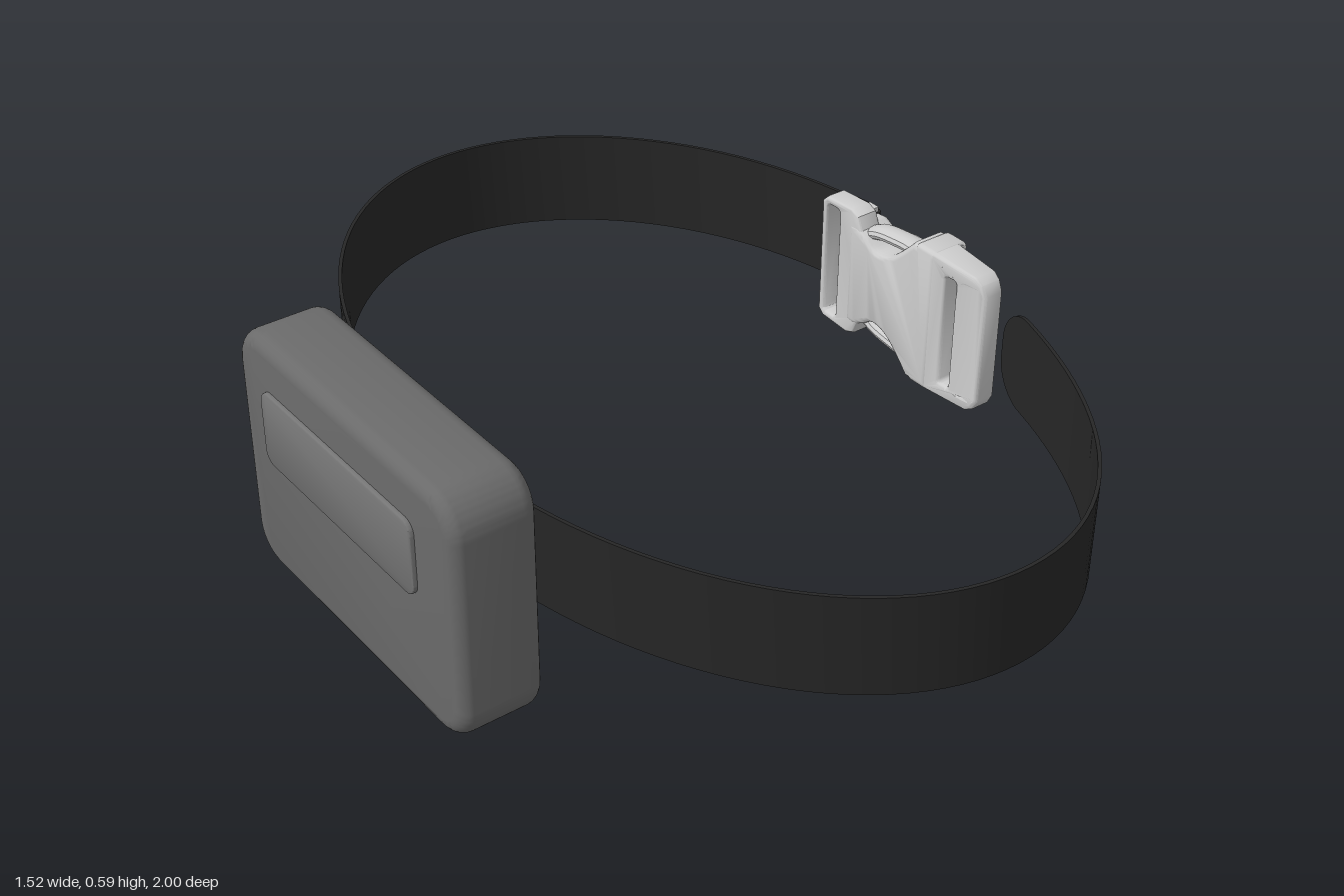
import * as THREE from 'three';
import { toCreasedNormals } from 'three/addons/utils/BufferGeometryUtils.js';

const MID = 0.328; // height of the buckle's centre line
const grey = new THREE.MeshStandardMaterial({ color: 0xcccccc });
const caseGrey = new THREE.MeshStandardMaterial({ color: 0x6a6a6a });
const labelGrey = new THREE.MeshStandardMaterial({ color: 0x757575 });
const webbing = new THREE.MeshStandardMaterial({ color: 0x262626, side: THREE.DoubleSide });

function roundRect(x0, y0, x1, y1, r, s = new THREE.Shape()) {
  s.moveTo(x0 + r, y0);
  s.lineTo(x1 - r, y0);
  s.absarc(x1 - r, y0 + r, r, -Math.PI / 2, 0);
  s.lineTo(x1, y1 - r);
  s.absarc(x1 - r, y1 - r, r, 0, Math.PI / 2);
  s.lineTo(x0 + r, y1);
  s.absarc(x0 + r, y1 - r, r, Math.PI / 2, Math.PI);
  s.lineTo(x0, y0 + r);
  s.absarc(x0 + r, y0 + r, r, Math.PI, Math.PI * 1.5);
  return s;
}
const hole = (x0, y0, x1, y1, r) => roundRect(x0, y0, x1, y1, r, new THREE.Path());

// Extrusion from d0 to d1, bevel kept inside the outline
function slab(shape, d0, d1, bevel, segments = 4) {
  return new THREE.ExtrudeGeometry(shape, {
    depth: d1 - d0 - 2 * bevel, bevelThickness: bevel, bevelSize: bevel,
    bevelOffset: -bevel, bevelSegments: segments, curveSegments: 10,
  }).translate(0, 0, d0 + bevel);
}
// The same along x, with the shape drawn in (-z, y)
const slabX = (...args) => slab(...args).rotateY(Math.PI / 2);

function add(group, name, geometry, material = grey) {
  const mesh = new THREE.Mesh(toCreasedNormals(geometry, 0.6), material);
  mesh.name = name;
  group.add(mesh);
  return mesh;
}

// Outline symmetric about the buckle's centre line, from its smoothed upper half
function mirrored(half) {
  const top = half.map(([u, h]) => new THREE.Vector2(u, MID + h));
  const bottom = half.map(([u, h]) => new THREE.Vector2(u, MID - h)).reverse();
  return new THREE.Shape([...bottom, ...top].reverse());
}

// Band swept along the (x, z) stations, with a rounded tip at the start
function strapGeometry(path) {
  const half = 0.115, t = 0.004, r = 0.09, yc = 0.34;
  const pos = [], idx = [];
  let d = 0;
  path.forEach((p, i) => {
    const a = path[Math.max(i - 1, 0)], b = path[Math.min(i + 1, path.length - 1)];
    if (i) d += p.distanceTo(a);
    const dir = b.clone().sub(a).normalize();
    const k = Math.max(r - d, 0);
    const h = half - r + Math.sqrt(Math.max(r * r - k * k, 0));
    for (const [s, v] of [[1, -1], [1, 1], [-1, 1], [-1, -1]])
      pos.push(p.x + s * t * -dir.y, yc + v * h, p.y + s * t * dir.x);
    if (!i) return;
    for (let j = 0; j < 4; j++) {
      const q = i * 4 - 4 + j, n = i * 4 - 4 + (j + 1) % 4;
      idx.push(q, n, q + 4, n, n + 4, q + 4);
    }
  });
  const e = pos.length / 3 - 4;
  idx.push(0, 2, 1, 0, 3, 2, e, e + 1, e + 2, e, e + 2, e + 3);
  const g = new THREE.BufferGeometry();
  g.setAttribute('position', new THREE.Float32BufferAttribute(pos, 3));
  g.setIndex(idx);
  return g;
}

function strapPath() {
  const pts = [], start = Math.asin(0.295), end = Math.PI * 2 - Math.asin(0.3);
  const at = (a) => {
    const c = Math.cos(a), s = Math.sin(a);
    const skew = c > 0 ? -0.045 * s * c * c : 0;
    return new THREE.Vector2(0.1 + 0.655 * c + skew, s * 0.995);
  };
  // Closely spaced stations round off the tip
  for (let i = 0; i < 12; i++) pts.push(at(start + 0.1 * (i / 12) ** 2));
  for (let i = 0; i <= 110; i++) pts.push(at(start + 0.1 + (end - start - 0.1) * i / 110));
  // Turn around the buckle's bar and back
  const turn = new THREE.SplineCurve([
    pts[pts.length - 1], new THREE.Vector2(0.75, -0.25), new THREE.Vector2(0.755, -0.195),
    new THREE.Vector2(0.747, -0.168), new THREE.Vector2(0.733, -0.18),
    new THREE.Vector2(0.729, -0.215), new THREE.Vector2(0.737, -0.275),
  ]);
  return pts.concat(turn.getPoints(36).slice(1));
}

function buildBuckle() {
  const g = new THREE.Group();
  g.name = 'buckle';

  // Slotted frame for the free strap end, thinner towards its tip
  const frame = mirrored([[-0.268, 0.135], [-0.255, 0.16], [-0.235, 0.172], [-0.1, 0.178]]);
  frame.holes.push(hole(-0.25, 0.19, -0.205, 0.466, 0.008), hole(-0.183, 0.19, -0.152, 0.466, 0.008));
  const fg = slabX(frame, 0.657, 0.738, 0.01);
  const p = fg.attributes.position;
  for (let i = 0; i < p.count; i++) {
    const k = THREE.MathUtils.clamp((p.getZ(i) - 0.11) / 0.158, 0, 1);
    p.setX(i, 0.695 + (p.getX(i) - 0.695) * (1 - 0.35 * k * k));
  }
  add(g, 'slottedFrame', fg);

  // Socket body with a waist at each release arm
  const waist = new THREE.SplineCurve([
    [-0.045, 0.175], [-0.012, 0.14], [0.03, 0.105], [0.075, 0.095], [0.11, 0.115], [0.14, 0.13],
  ].map(([u, h]) => new THREE.Vector2(u, h))).getPoints(20).map((v) => [v.x, v.y]);
  add(g, 'socketBody', slabX(mirrored([[-0.118, 0.175], ...waist, [0.166, 0.127]]), 0.655, 0.75, 0.014));
  add(g, 'socketRim', slabX(roundRect(-0.12, MID - 0.179, -0.05, MID + 0.179, 0.015), 0.655, 0.757, 0.015));

  // Plug end with the strap slot
  const plug = mirrored([
    [0.09, 0.1], [0.125, 0.118], [0.14, 0.155], [0.165, 0.165], [0.25, 0.16], [0.266, 0.145],
  ]);
  plug.holes.push(hole(0.205, MID - 0.142, 0.247, MID + 0.142, 0.01));
  add(g, 'plugEnd', slabX(plug, 0.658, 0.716, 0.009));
  add(g, 'strapBar', new THREE.CylinderGeometry(0.008, 0.008, 0.27, 12).translate(0.741, MID, -0.188));
  for (const s of [1, -1]) {
    add(g, 'strapBarMount', new THREE.BoxGeometry(0.05, 0.018, 0.03).translate(0.722, MID + s * 0.13, -0.185));
    // Release arms curving through the waist
    const arm = new THREE.CatmullRomCurve3([
      [-0.14, 0.1], [-0.1, 0.122], [-0.04, 0.133], [0.02, 0.135], [0.06, 0.115],
    ].map(([z, h]) => new THREE.Vector3(0, MID + s * h, z)));
    const ag = new THREE.TubeGeometry(arm, 20, 0.017, 12).scale(1.7, 1, 1).translate(0.698, 0, 0);
    add(g, 'releaseArm', ag);
  }
  return g;
}

export function createModel() {
  const model = new THREE.Group();

  // Case with a raised plate on its outer face
  add(model, 'case', slabX(roundRect(-0.375, 0, 0.45, 0.588, 0.09), -0.755, -0.56, 0.035, 6), caseGrey);
  add(model, 'casePlate', slabX(roundRect(-0.235, 0.3, 0.34, 0.478, 0.03), -0.765, -0.745, 0.004), labelGrey);

  // Strap guides on the inner face
  add(model, 'guideBase', slabX(roundRect(-0.18, 0.213, 0.255, 0.467, 0.01), -0.572, -0.557, 0.002));
  for (const z of [-0.252, 0.175]) {
    const loop = roundRect(-0.575, 0.2, -0.51, 0.494, 0.016);
    loop.holes.push(hole(-0.555, 0.216, -0.528, 0.478, 0.006));
    add(model, 'strapGuide', slab(loop, z - 0.027, z + 0.027, 0.007));
  }

  add(model, 'strap', strapGeometry(strapPath()), webbing);
  model.add(buildBuckle());
  return model;
}
